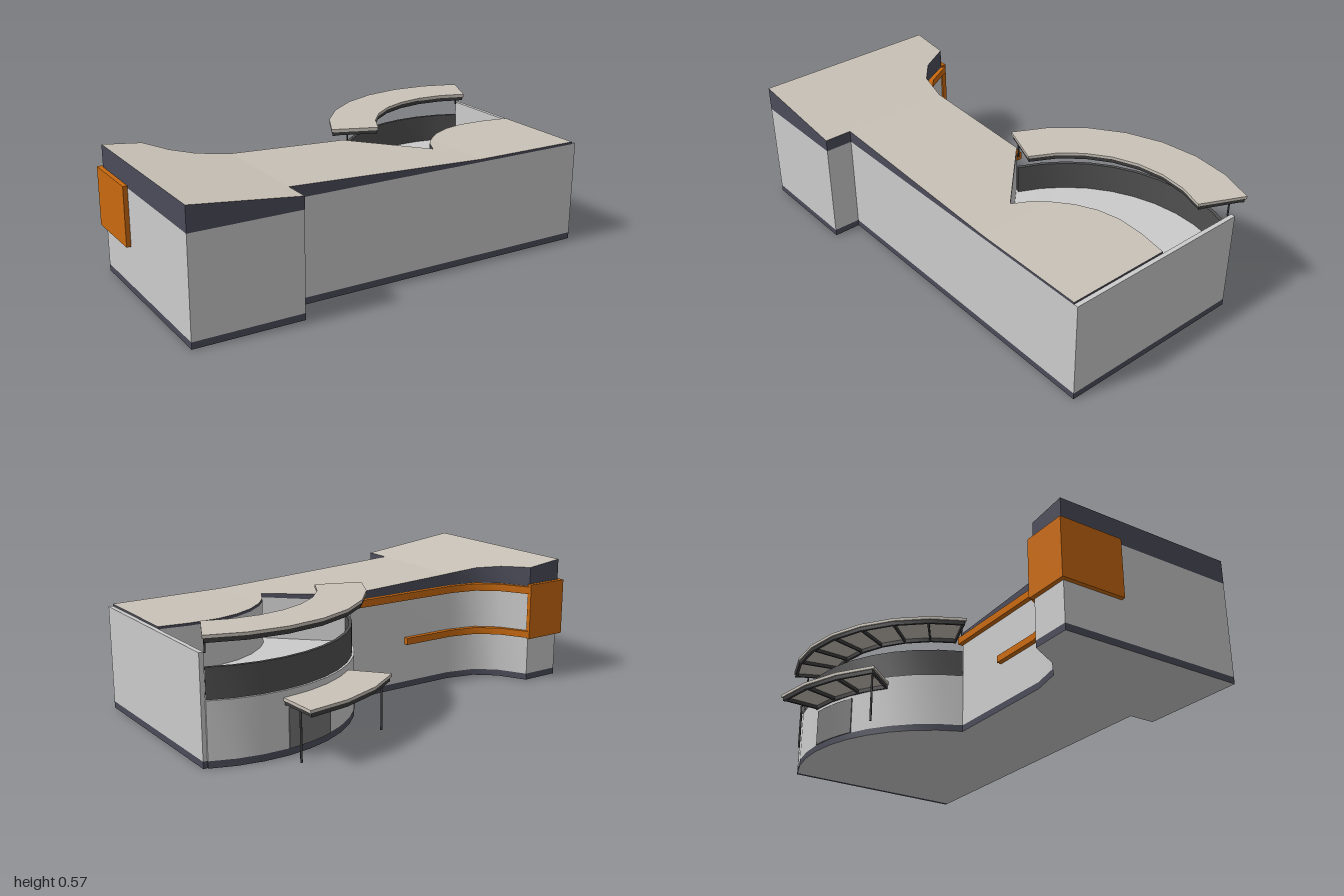
import * as THREE from 'three';
import { toCreasedNormals } from 'three/addons/utils/BufferGeometryUtils.js';

const mat = (color) => new THREE.MeshStandardMaterial({ color });
const grey = mat(0xcccccc), slate = mat(0x4c4c5a), beige = mat(0xc9c2b8);
const orange = mat(0xc8690f), dark = mat(0x505050), steel = mat(0x3c3c3c), glass = mat(0x777777);

// Centre shared by the curved wall, parapet and both canopies
const CX = 0.7, CZ = 0.237;
const polar = (r, deg) => {
  const t = THREE.MathUtils.degToRad(deg);
  return [CX + r * Math.sin(t), CZ - r * Math.cos(t)];
};
const arc = (r, a, b, n) => Array.from({ length: n + 1 }, (_, i) => polar(r, a + (b - a) * i / n));
const ring = (r0, r1, a, b, n) => [...arc(r1, a, b, n), ...arc(r0, a, b, n).reverse()];

// Upright slab over an (x, z) outline; topAt(x) optionally slopes its top
function slab(name, pts, y0, y1, cap, side = cap, topAt = null) {
  const shape = new THREE.Shape(pts.map(([x, z]) => new THREE.Vector2(x, -z)));
  let g = new THREE.ExtrudeGeometry(shape, { depth: y1 - y0, bevelEnabled: false });
  g.rotateX(-Math.PI / 2).translate(0, y0, 0);
  if (topAt) {
    const p = g.attributes.position;
    for (let i = 0; i < p.count; i++) if (p.getY(i) > (y0 + y1) / 2) p.setY(i, topAt(p.getX(i)));
    g.computeVertexNormals();
  }
  g = toCreasedNormals(g, 0.5);
  const m = new THREE.Mesh(g, [cap, side]);
  m.name = name;
  return m;
}

function box(name, x0, x1, y0, y1, z0, z1, material) {
  const m = new THREE.Mesh(new THREE.BoxGeometry(x1 - x0, y1 - y0, z1 - z0), material);
  m.position.set((x0 + x1) / 2, (y0 + y1) / 2, (z0 + z1) / 2);
  m.name = name;
  return m;
}

function post(name, [x, z], y0, y1, r) {
  const m = new THREE.Mesh(new THREE.CylinderGeometry(r, r, y1 - y0, 10), steel);
  m.position.set(x, (y0 + y1) / 2, z);
  m.name = name;
  return m;
}

// Curved canopy: thin roof over a steel frame of two rims and radial ribs
function canopy(name, r0, r1, a, b, n, y) {
  const g = new THREE.Group();
  g.name = name;
  const lip = 0.012, inset = 0.006;
  g.add(slab('canopyRoof', ring(r0, r1, a, b, n), y + 0.018, y + 0.032, beige));
  g.add(slab('canopyOuterRim', ring(r1 - lip - inset, r1 - inset, a + 0.5, b - 0.5, n), y, y + 0.018, steel));
  g.add(slab('canopyInnerRim', ring(r0 + inset, r0 + lip + inset, a + 0.5, b - 0.5, n), y, y + 0.018, steel));
  for (let i = 0; i <= n; i++) {
    const t = a + 0.9 + (b - a - 1.8) * i / n;
    g.add(slab('canopyRib', ring(r0 + 0.01, r1 - 0.015, t - 0.4, t + 0.4, 1), y + 0.002, y + 0.018, steel));
  }
  return g;
}

export function createModel() {
  const model = new THREE.Group();
  model.name = 'building';

  // Outline pieces
  const backCurve = [[-0.98, -0.245], [-0.8, -0.245], [-0.73, -0.115], [-0.64, -0.038], [-0.5, -0.007]];
  const notch = [[0.36, 0.28], [0.4, 0.2], [0.45, 0.14], [0.53, 0.075], [0.62, 0.03], [0.72, 0.007], [0.85, 0.01], [0.98, 0.03]];
  const front = [[0.98, 0.5], [-0.49, 0.5], [-0.49, 0.625], [-0.98, 0.625]];
  const A0 = -69, A1 = 24.5, R = 0.68;
  const bulge = arc(R, A0, A1, 10);
  const corner = bulge[0];

  // Plinth, main walls and the lower curved block that carries the terrace
  model.add(slab('plinth', [...backCurve, ...bulge, ...front], 0, 0.03, grey, slate));
  model.add(slab('mainWalls', [...backCurve, corner, ...notch, ...front], 0.03, 0.465, grey));
  model.add(slab('curvedWall', [...bulge, ...[...notch].reverse()], 0.03, 0.275, grey));
  model.add(slab('terraceParapet', ring(0.655, 0.67, A0, A1, 10), 0.275, 0.405, dark));
  model.add(slab('entranceGlazing', ring(0.66, 0.684, -24, -4, 4), 0.03, 0.2, glass));
  model.add(box('endWall', 0.98, 1, 0.03, 0.467, -0.375, 0.5, grey));
  model.add(box('endPlinth', 0.98, 1, 0, 0.03, -0.375, 0.5, slate));

  // Roof in three bays, rising towards one end
  const profile = [[-0.98, 0.575], [-0.49, 0.52], [0.45, 0.478], [0.98, 0.476]];
  const roofTop = (x) => {
    let i = 0;
    while (i < 2 && x > profile[i + 1][0]) i++;
    const [xa, ya] = profile[i], [xb, yb] = profile[i + 1];
    return ya + (yb - ya) * (x - xa) / (xb - xa);
  };
  const bays = [
    [...backCurve, [-0.49, -0.007], [-0.49, 0.625], [-0.98, 0.625]],
    [[-0.49, -0.007], corner, ...notch.slice(0, 3), [0.45, 0.5], [-0.49, 0.5]],
    [...notch.slice(2), [0.98, 0.5], [0.45, 0.5]],
  ];
  bays.forEach((b) => model.add(slab('roofBay', b, 0.465, 0.5, beige, slate, roofTop)));

  // Orange corner panel and the two bands that sweep along the rear wall
  model.add(slab('cornerPanel', [[-1, -0.265], [-0.79, -0.265], [-0.79, -0.243], [-0.98, -0.243], [-0.98, 0.04], [-1, 0.04]], 0.21, 0.475, orange));
  const band = (name, endX, y0, y1) => model.add(slab(name, [
    [-0.79, -0.265], [-0.715, -0.132], [-0.625, -0.058], [-0.5, -0.03], [endX, -0.03],
    [endX, -0.004], ...backCurve.slice(1).reverse()], y0, y1, orange));
  band('upperBand', 0.07, 0.43, 0.464);
  band('lowerBand', -0.24, 0.215, 0.247);

  // Canopies and their posts
  model.add(canopy('terraceCanopy', 0.518, 0.732, -69.5, 25, 7, 0.516));
  model.add(post('terracePost', [0.97, -0.365], 0.46, 0.52, 0.004));
  model.add(post('terracePost', [0.085, 0], 0.46, 0.52, 0.004));
  model.add(canopy('entranceCanopy', 0.67, 0.869, -40, -2, 3, 0.215));
  model.add(post('entrancePost', polar(0.83, -38.5), 0, 0.217, 0.005));
  model.add(post('entrancePost', polar(0.77, -3.5), 0, 0.217, 0.005));

  return model;
}
